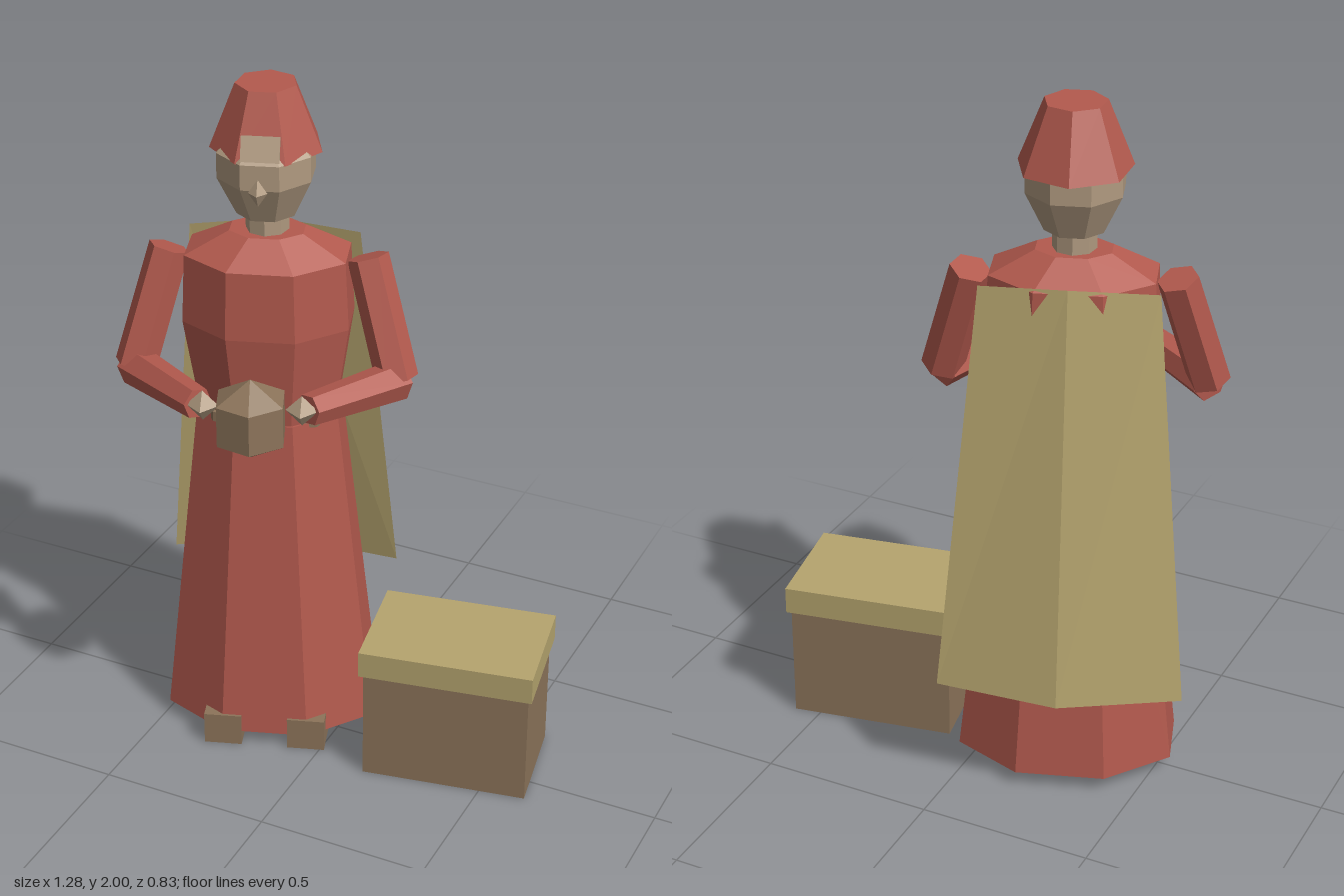
import * as THREE from 'three';

const mat = (name, color) => {
  const m = new THREE.MeshStandardMaterial({ color, flatShading: true });
  m.name = name;
  return m;
};

export function createModel() {
  const red = mat('red cloth', 0xb35a4e);
  const olive = mat('olive cloth', 0xb5a46e);
  const brown = mat('brown wood', 0x8c745a);
  const skin = mat('skin', 0xb09a80);
  olive.side = THREE.DoubleSide;

  const add = (parent, name, geo, material, x = 0, y = 0, z = 0) => {
    const mesh = new THREE.Mesh(geo, material);
    mesh.name = name;
    mesh.position.set(x, y, z);
    parent.add(mesh);
    return mesh;
  };
  // Eight-sided turned form with a flat face to the front; profile is [radius, y]
  const turned = (profile, depth = 1, phase = Math.PI / 8) =>
    new THREE.LatheGeometry(profile.map(([r, y]) => new THREE.Vector2(r, y)), 8, phase)
      .scale(1, 1, depth);
  // Six-sided limb between two points
  const limb = (parent, name, a, b, ra, rb, material, sides = 6) => {
    const from = new THREE.Vector3(...a), to = new THREE.Vector3(...b);
    const dir = to.clone().sub(from);
    const mesh = add(parent, name, new THREE.CylinderGeometry(rb, ra, dir.length(), sides), material);
    mesh.position.copy(from).add(to).multiplyScalar(0.5);
    mesh.quaternion.setFromUnitVectors(new THREE.Vector3(0, 1, 0), dir.normalize());
    return mesh;
  };

  const model = new THREE.Group();
  model.name = 'robedFigureWithChest';

  const figure = new THREE.Group();
  figure.name = 'figure';
  figure.position.set(-0.228, 0, -0.033);
  figure.rotation.y = 0.33;
  model.add(figure);

  // Robe
  add(figure, 'skirt', turned([[0, 0.045], [0.33, 0.045], [0.216, 1.045], [0, 1.045]], 0.727), red);
  add(figure, 'torso', turned([[0, 1.04], [0.205, 1.04], [0.25, 1.32], [0.24, 1.52],
    [0.11, 1.585], [0, 1.585]], 0.74), red);
  add(figure, 'belt', turned([[0, 1.03], [0.207, 1.03], [0.207, 1.06], [0, 1.06]], 0.74, 0), brown);

  // Head, nose and hat
  add(figure, 'neck', new THREE.CylinderGeometry(0.06, 0.06, 0.1, 8), skin, 0, 1.61, 0);
  add(figure, 'head', turned([[0, 1.615], [0.085, 1.64], [0.138, 1.75], [0.138, 1.822],
    [0.09, 1.87], [0, 1.89]]), skin, 0, 0, 0.005);
  add(figure, 'forehead', new THREE.BoxGeometry(0.105, 0.07, 0.06), skin, 0, 1.85, 0.085)
    .rotation.x = -0.39;
  add(figure, 'nose', new THREE.OctahedronGeometry(0.026).scale(1, 1.5, 1), skin, 0, 1.76, 0.167);
  add(figure, 'hat', new THREE.CylinderGeometry(0.085, 0.157, 0.18, 7), red, 0, 1.91, -0.02)
    .rotation.y = Math.PI;

  // Arms, hands and shoes, mirrored
  for (const [side, s] of [['left', 1], ['right', -1]]) {
    const arm = new THREE.Group();
    arm.name = side + 'Arm';
    figure.add(arm);
    limb(arm, side + 'UpperArm', [s * 0.275, 1.51, -0.005], [s * 0.366, 1.18, 0.075], 0.058, 0.06, red);
    limb(arm, side + 'Forearm', [s * 0.37, 1.175, 0.07], [s * 0.15, 1.2, 0.315], 0.058, 0.045, red);
    add(arm, side + 'Hand', new THREE.OctahedronGeometry(0.045), skin, s * 0.135, 1.205, 0.33);
    add(figure, side + 'Shoe', new THREE.BoxGeometry(0.11, 0.1, 0.2), brown, s * 0.123, 0.05, 0.125);
  }

  // Faceted orb held between the hands
  add(figure, 'orb', new THREE.SphereGeometry(0.118, 6, 3), brown, 0.005, 1.205, 0.388)
    .rotation.y = -0.43;

  // Cape: two panels folded along the spine
  const cape = new THREE.BufferGeometry();
  cape.setAttribute('position', new THREE.Float32BufferAttribute([
    -0.24, 1.52, -0.135, 0, 1.535, -0.17, 0.24, 1.52, -0.135,
    -0.34, 0.365, -0.275, 0, 0.365, -0.355, 0.34, 0.365, -0.275], 3));
  cape.setIndex([0, 1, 4, 0, 4, 3, 1, 2, 5, 1, 5, 4]);
  cape.computeVertexNormals();
  add(figure, 'cape', cape, olive);

  // Chest with overhanging lid
  const chest = new THREE.Group();
  chest.name = 'chest';
  chest.position.set(0.368, 0, -0.03);
  chest.rotation.y = 0.18;
  model.add(chest);
  add(chest, 'chestBody', new THREE.BoxGeometry(0.48, 0.345, 0.31), brown, 0, 0.1725, 0);
  add(chest, 'chestLid', new THREE.BoxGeometry(0.503, 0.08, 0.336), olive, 0, 0.385, 0);

  return model;
}
